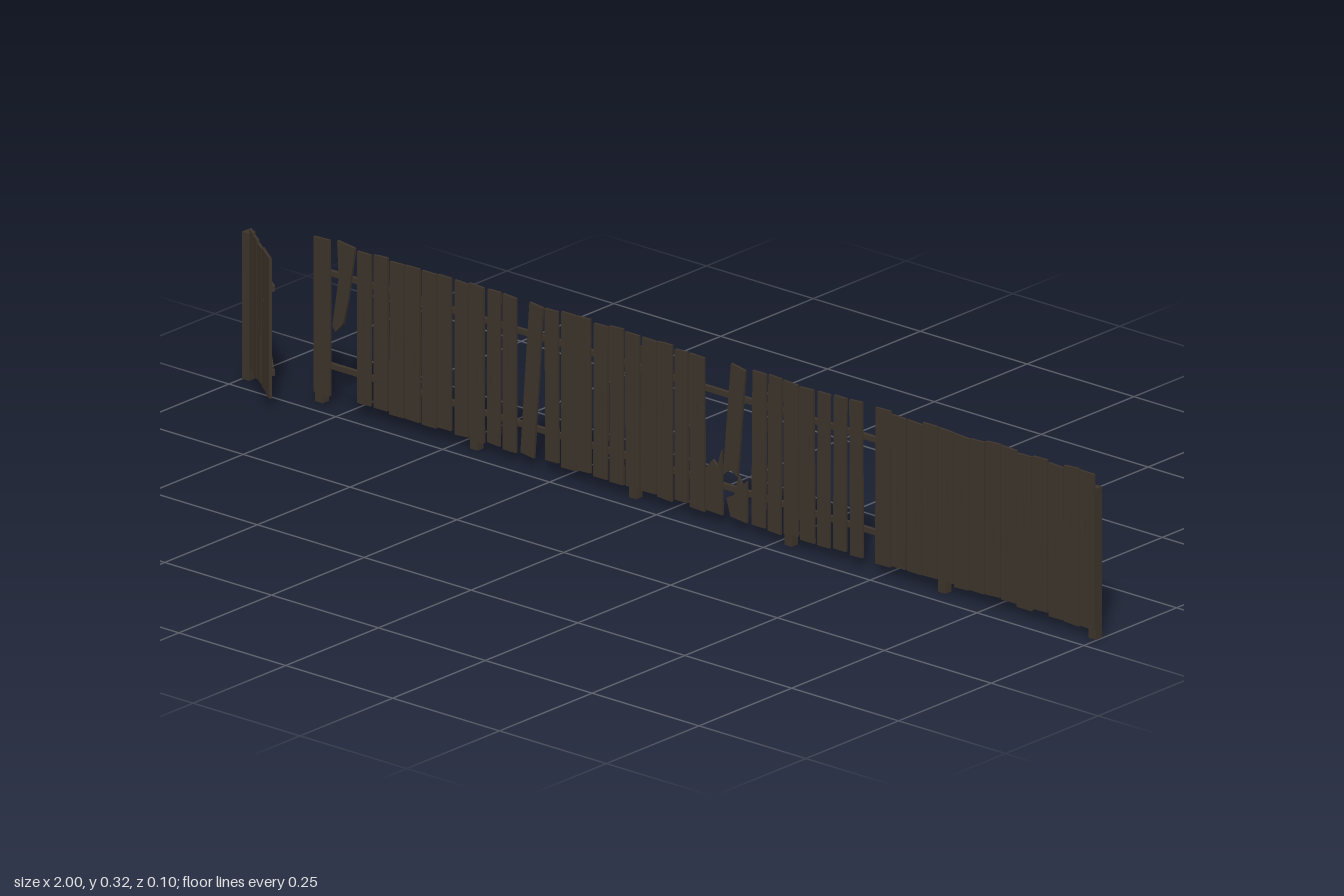
import * as THREE from 'three';

const wood = new THREE.MeshStandardMaterial({ color: 0x3d342b });
wood.name = 'weathered wood';

let seed = 7;
const rnd = () => (seed = (seed * 16807) % 2147483647) / 2147483647;
const vary = (a) => (rnd() - 0.5) * 2 * a;

function add(parent, geometry, name, x = 0, y = 0, z = 0) {
  const mesh = new THREE.Mesh(geometry, wood);
  mesh.name = name;
  mesh.position.set(x, y, z);
  parent.add(mesh);
  return mesh;
}

function box(parent, name, w, h, d, x, y, z) {
  return add(parent, new THREE.BoxGeometry(w, h, d), name, x, y, z);
}

// Flat sawn piece from an outline, with optional narrow cracks
function sawn(parent, name, points, z, depth = 0.005, cracks = []) {
  const shape = new THREE.Shape(points.map(([x, y]) => new THREE.Vector2(x, y)));
  for (const [x, y, h] of cracks) {
    shape.holes.push(new THREE.Path([
      new THREE.Vector2(x, y), new THREE.Vector2(x - 0.0015, y + h * 0.6),
      new THREE.Vector2(x, y + h), new THREE.Vector2(x + 0.0015, y + h * 0.5),
    ]));
  }
  const geo = new THREE.ExtrudeGeometry(shape, { depth, bevelEnabled: false });
  return add(parent, geo, name, 0, 0, z);
}

// Row of slightly uneven upright boards
function boardRow(parent, name, x0, x1, count, gap, top, z, crackChance) {
  const pitch = (x1 - x0) / count;
  for (let i = 0; i < count; i++) {
    const l = x0 + i * pitch + gap * 0.5 * rnd();
    const r = x0 + (i + 1) * pitch - gap * (0.5 + rnd() * 0.5);
    const lean = vary(gap * 0.3);
    const b = 0.022 + vary(0.003), t = top + vary(0.003);
    const cracks = [];
    if (rnd() < crackChance) cracks.push([(l + r) / 2 + vary(0.006), 0.09 + rnd() * 0.09, 0.05 + rnd() * 0.03]);
    sawn(parent, name, [[l, b], [r, b + vary(0.002)], [r + lean, t + vary(0.002)], [l + lean, t]],
      z + vary(0.0008), 0.005, cracks);
  }
}

export function createModel() {
  const model = new THREE.Group();
  model.name = 'plankFence';

  // Fence run: posts and two long rails behind the boards
  const fence = new THREE.Group();
  fence.name = 'fence';
  model.add(fence);
  for (const x of [-0.82, -0.458, -0.086, 0.278, 0.637, 0.989]) {
    box(fence, 'fencePost', 0.017, 0.285, 0.017, x, 0.1425, -0.0435);
  }
  for (const y of [0.25, 0.075]) {
    box(fence, 'fenceRail', 1.823, 0.01, 0.008, 0.0855, y, -0.0385);
  }

  // Sound boards, in runs between the gaps
  const z = -0.0345;
  const runs = [
    [-0.827, -0.786, 1, 0.004, 0.2],
    [-0.727, -0.35, 10, 0.006, 0.4],
    [-0.288, 0.09, 10, 0.006, 0.5],
    [0.195, 0.462, 7, 0.008, 0.4],
    [0.486, 1.0, 14, 0.0025, 0.8],
  ];
  for (const [x0, x1, n, gap, crack] of runs) boardRow(fence, 'fenceBoard', x0, x1, n, gap, 0.312, z, crack);

  // Loose and leaning boards
  sawn(fence, 'hangingBoard', [[-0.783, 0.155], [-0.776, 0.145], [-0.758, 0.165], [-0.747, 0.21],
    [-0.73, 0.314], [-0.772, 0.319], [-0.768, 0.25]], z + 0.001);
  sawn(fence, 'leaningBoard', [[-0.343, 0.025], [-0.312, 0.021], [-0.291, 0.31], [-0.322, 0.314]], z + 0.001);
  sawn(fence, 'leaningBoard', [[0.133, 0.1], [0.15, 0.115], [0.167, 0.105], [0.185, 0.31],
    [0.152, 0.316]], z + 0.004);

  // Splintered stubs left at the bottom
  sawn(fence, 'brokenStub', [[0.091, 0.023], [0.128, 0.022], [0.126, 0.145], [0.117, 0.112],
    [0.106, 0.122], [0.091, 0.105]], z);
  sawn(fence, 'brokenStub', [[0.147, 0.025], [0.185, 0.021], [0.185, 0.1], [0.174, 0.09],
    [0.166, 0.105], [0.155, 0.066], [0.138, 0.058]], z);

  // Gate post and the gate swung open
  box(model, 'gatePost', 0.017, 0.278, 0.017, -0.9915, 0.139, -0.0435);
  const gate = new THREE.Group();
  gate.name = 'gate';
  gate.position.set(-0.99, 0, -0.046);
  gate.rotation.y = -0.63;
  model.add(gate);
  boardRow(gate, 'gateBoard', 0, 0.163, 5, 0.003, 0.284, -0.0025, 0.6);
  for (const y of [0.227, 0.068]) {
    box(gate, 'gateRail', 0.15, 0.011, 0.006, 0.084, y, -0.0055);
  }

  // Diagonal brace, from the free lower corner up to the hinge side
  const dx = -0.125, dy = 0.148;
  const brace = box(gate, 'gateBrace', Math.hypot(dx, dy), 0.009, 0.005, 0.088, 0.1475, -0.005);
  brace.rotation.z = Math.atan2(dy, dx);

  return model;
}
